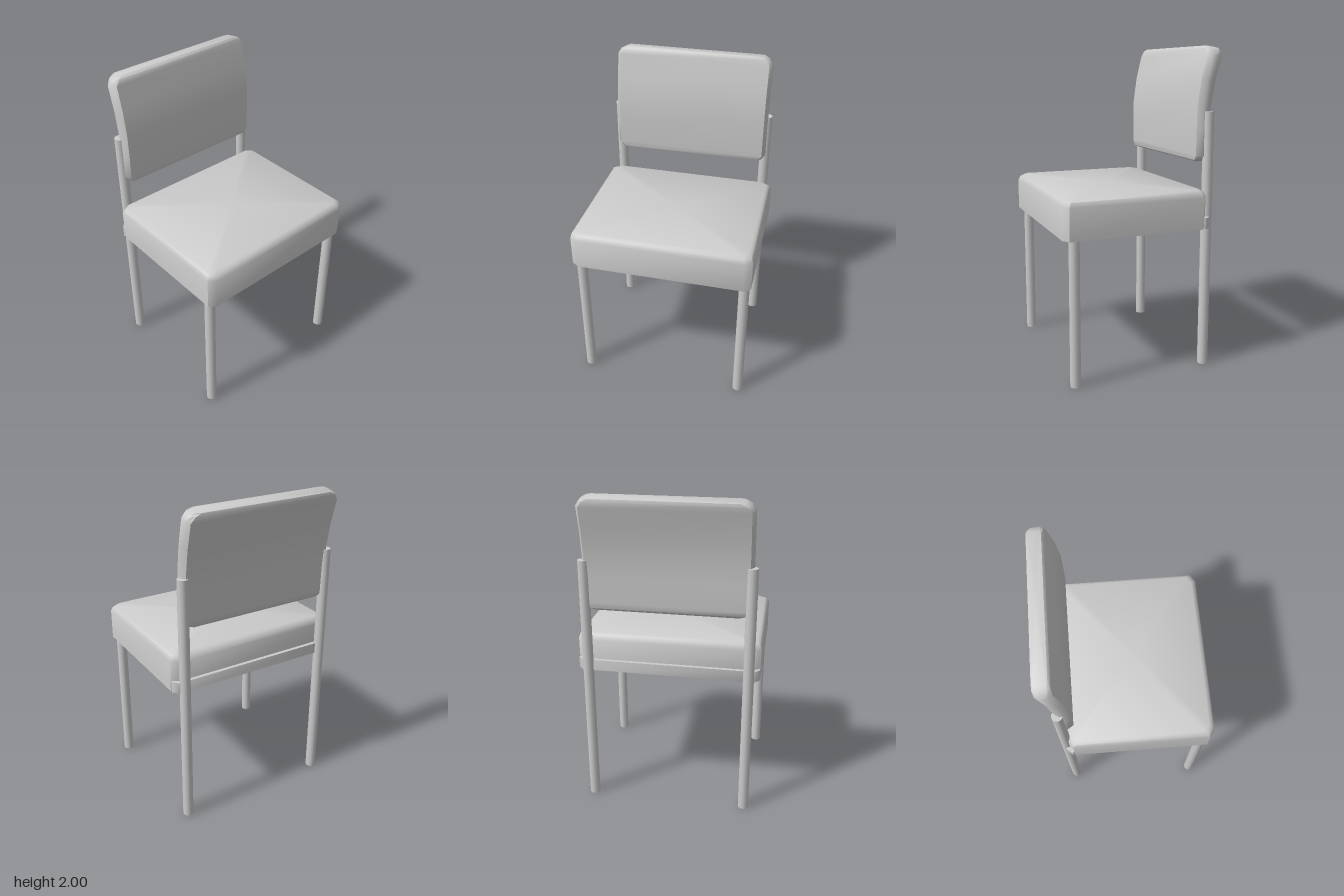
import * as THREE from 'three';
import { toCreasedNormals } from 'three/addons/utils/BufferGeometryUtils.js';

const material = new THREE.MeshStandardMaterial({ color: 0xcccccc });

// Stacks chamfered rectangles and closes both ends.
// Each row: y, half width, back z, front z, corner cut in x, corner cut in z, height change at the back
function loft(rows, crease = 0.9) {
  const pos = [], index = [], n = 8;
  for (const [y, w, b, f, cx, cz, drop = 0] of rows) {
    const ring = [[w, b + cz], [w, f - cz], [w - cx, f], [cx - w, f],
      [-w, f - cz], [-w, b + cz], [cx - w, b], [w - cx, b]];
    for (const [x, z] of ring) pos.push(x, y + drop * (f - z) / (f - b), z);
  }
  const bottom = rows.length * n, top = bottom + 1;
  for (const r of [rows[0], rows[rows.length - 1]]) pos.push(0, r[0] + (r[6] || 0) / 2, (r[2] + r[3]) / 2);
  const last = (rows.length - 1) * n;
  for (let j = 0; j < n; j++) {
    const k = (j + 1) % n;
    for (let i = 0; i < last; i += n) {
      index.push(i + j, i + n + j, i + k, i + k, i + n + j, i + n + k);
    }
    index.push(bottom, j, k, top, last + k, last + j);
  }
  const geometry = new THREE.BufferGeometry();
  geometry.setAttribute('position', new THREE.Float32BufferAttribute(pos, 3));
  geometry.setIndex(index);
  return toCreasedNormals(geometry, crease);
}

export function createModel() {
  const chair = new THREE.Group();
  chair.name = 'chair';
  const add = (name, geometry, x = 0, y = 0, z = 0) => {
    const mesh = new THREE.Mesh(geometry, material);
    mesh.name = name;
    mesh.position.set(x, y, z);
    chair.add(mesh);
  };

  // Seat cushion with softened top edges
  add('seatCushion', loft([
    [0.9, 0.565, -0.4, 0.515, 0.045, 0.03],
    [1.095, 0.565, -0.405, 0.515, 0.045, 0.03],
    [1.125, 0.555, -0.39, 0.503, 0.045, 0.03],
    [1.14, 0.535, -0.37, 0.48, 0.045, 0.03],
  ]));

  // Low rail along the rear of the seat
  add('rearRail', loft([
    [0.901, 0.565, -0.425, -0.35, 0.03, 0.035],
    [0.97, 0.565, -0.425, -0.35, 0.03, 0.035],
  ]));

  // Curved backrest, leaning away towards the top
  add('backrest', loft([
    [1.305, 0.45, -0.425, -0.372, 0.02, 0.015],
    [1.315, 0.48, -0.43, -0.352, 0.02, 0.02],
    [1.345, 0.505, -0.433, -0.35, 0.02, 0.03],
    [1.5, 0.505, -0.435, -0.35, 0.02, 0.03],
    [1.64, 0.505, -0.442, -0.352, 0.02, 0.03, -0.01],
    [1.8, 0.505, -0.468, -0.374, 0.02, 0.03, -0.015],
    [1.95, 0.505, -0.507, -0.41, 0.02, 0.03, -0.018],
    [1.985, 0.48, -0.515, -0.417, 0.02, 0.02, -0.018],
    [2.0, 0.445, -0.515, -0.429, 0.02, 0.01, -0.015],
  ]));

  // Round legs; the rear pair continues up to carry the backrest
  for (const side of [1, -1]) {
    const name = side > 0 ? 'left' : 'right';
    const leg = (h) => new THREE.CylinderGeometry(0.033, 0.033, h, 12);
    add(name + 'FrontLeg', leg(0.92), side * 0.52, 0.46, 0.445);
    add(name + 'RearLeg', leg(1.61), side * 0.497, 0.805, -0.423);
  }
  return chair;
}
